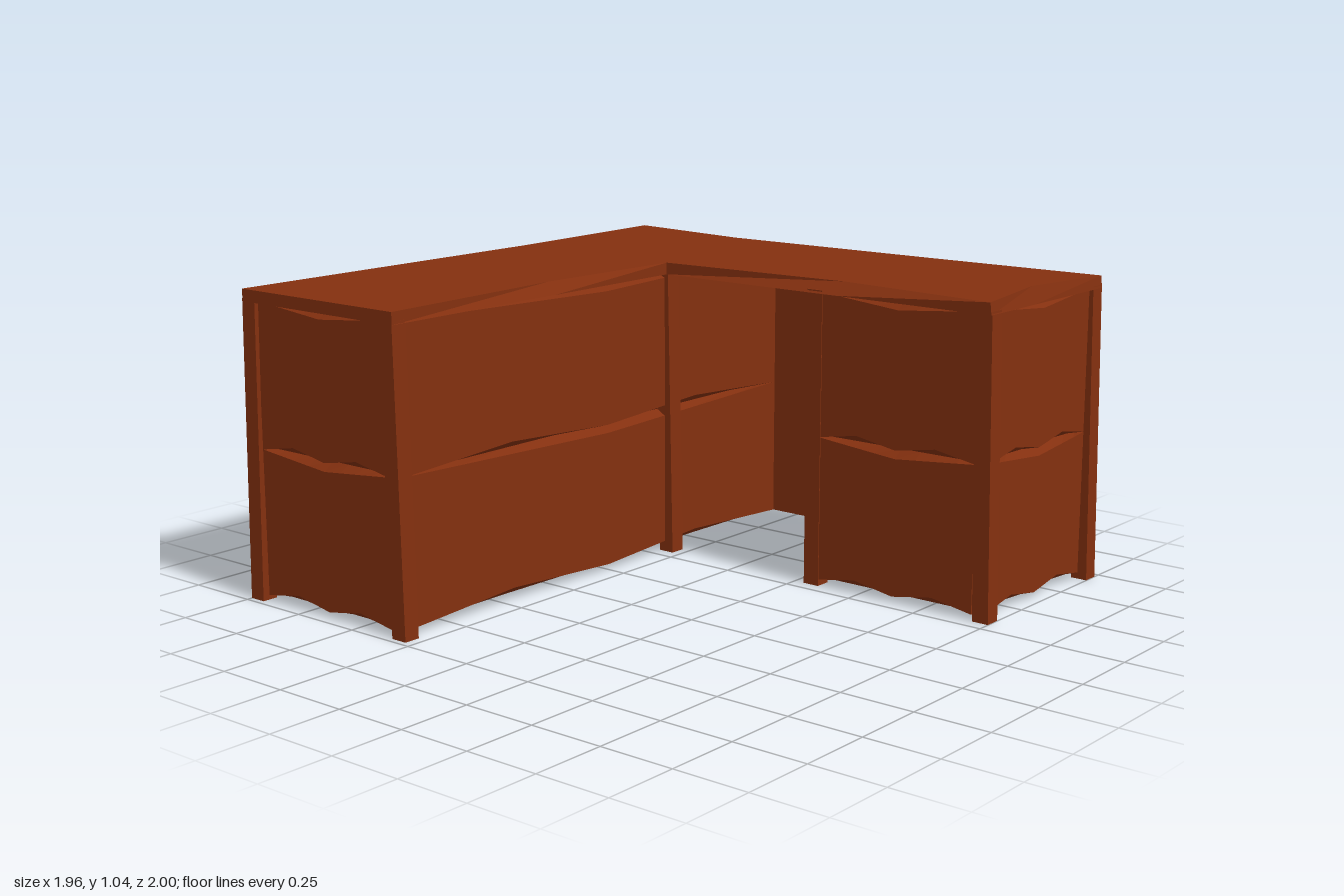
import * as THREE from 'three';

export function createModel() {
  const desk = new THREE.Group();
  desk.name = 'cornerDesk';
  const wood = new THREE.MeshStandardMaterial({ color: 0x84300f, flatShading: true, side: THREE.DoubleSide });
  wood.name = 'reddish wood';

  const add = (name, geometry, parent = desk) => {
    geometry.computeVertexNormals();
    const mesh = new THREE.Mesh(geometry, wood);
    mesh.name = name;
    parent.add(mesh);
    return mesh;
  };

  // Worktop: L outline as [bottom x, bottom z, top x, top z, top y], with worn, uneven upper edges
  const rim = [
    [-0.98, -0.98, -0.98, -0.98, 1.02],
    [0.3, -0.98, 0.3, -0.96, 1.02],
    [0.975, -0.98, 0.975, -0.98, 1.02],
    [0.975, -0.5, 0.925, -0.5, 1.02],
    [0.975, 0.35, 0.95, 0.35, 1.02],
    [0.975, 0.98, 0.975, 0.975, 1.02],
    [0.55, 0.98, 0.55, 0.965, 1.037],
    [0.29, 0.98, 0.29, 0.975, 1.02],
    [0.29, 0.4, 0.34, 0.4, 1.02],
    [0.29, -0.3, 0.29, -0.3, 1.02],
    [-0.27, -0.3, -0.27, -0.33, 1.02],
    [-0.98, -0.3, -0.98, -0.3, 1.02],
  ];
  const n = rim.length;
  const positions = [];
  rim.forEach(([x, z]) => positions.push(x, 0.98, z));
  rim.forEach(([, , x, z, y]) => positions.push(x, y, z));
  const faces = [];
  for (let i = 0; i < n; i++) {
    const j = (i + 1) % n;
    faces.push(i, i + n, j, j, i + n, j + n);
  }
  const outline = rim.map(([, , x, z]) => new THREE.Vector2(x, z));
  for (const [a, b, c] of THREE.ShapeUtils.triangulateShape(outline, [])) {
    faces.push(a, b, c, a + n, c + n, b + n);
  }
  const top = new THREE.BufferGeometry();
  top.setAttribute('position', new THREE.Float32BufferAttribute(positions, 3));
  top.setIndex(faces);
  add('worktop', top.toNonIndexed());

  // Posts: square legs whose feet splay along z
  const posts = [
    [-0.952, -0.952, -1], [0.947, -0.952, -1], [-0.952, -0.33, 1], [0.325, -0.33, 1],
    [0.325, 0.315, 0], [0.325, 0.95, 1], [0.947, 0.95, 1],
  ];
  for (const [x, z, splay] of posts) {
    const g = new THREE.BoxGeometry(0.056, 0.99, 0.058, 1, 3, 1);
    g.translate(0, 0.495, 0);
    const p = g.attributes.position;
    for (let i = 0; i < p.count; i++) {
      const drop = Math.max(0, 1 - p.getY(i) / 0.99);
      p.setZ(i, p.getZ(i) + splay * 0.02 * drop);
    }
    add('post', g).position.set(x, 0, z);
  }

  // Plank: outer face has a sagging top edge and a wavy bottom edge, inner face stays straight
  const plank = (length, y0, y1) => {
    const h = y1 - y0;
    const g = new THREE.BoxGeometry(length, h, 0.035, 8, 1, 1);
    g.translate(0, y0 + h / 2, -0.0175);
    const p = g.attributes.position;
    for (let i = 0; i < p.count; i++) {
      if (p.getZ(i) < -0.01) continue;
      const u = Math.abs(2 * p.getX(i) / length);
      const isTop = p.getY(i) > y0 + h / 2;
      const wave = Math.max(0, 1 - Math.abs(u - 0.5) / 0.5);
      p.setY(i, p.getY(i) + (isTop ? -0.028 * (1 - u) : 0.026 * wave));
    }
    return g;
  };

  // Side panels, two planks high: [name, length, x, z, turn about y]
  const panels = [
    ['backPanel', 1.85, 0, -0.965, Math.PI],
    ['rightArmOuterPanel', 1.85, 0.96, 0, Math.PI / 2],
    ['backArmFrontPanel', 1.85, 0, -0.315, 0],
    ['leftEndPanel', 0.58, -0.965, -0.64, -Math.PI / 2],
    ['frontEndPanel', 0.58, 0.635, 0.965, 0],
    ['rightArmInnerPanel', 0.6, 0.3, 0.635, -Math.PI / 2],
  ];
  for (const [name, length, x, z, turn] of panels) {
    const panel = new THREE.Group();
    panel.name = name;
    add('lowerPlank', plank(length, 0.02, 0.505), panel);
    add('upperPlank', plank(length, 0.505, 0.985), panel);
    panel.position.set(x, 0, z);
    panel.rotation.y = turn;
    desk.add(panel);
  }

  return desk;
}
